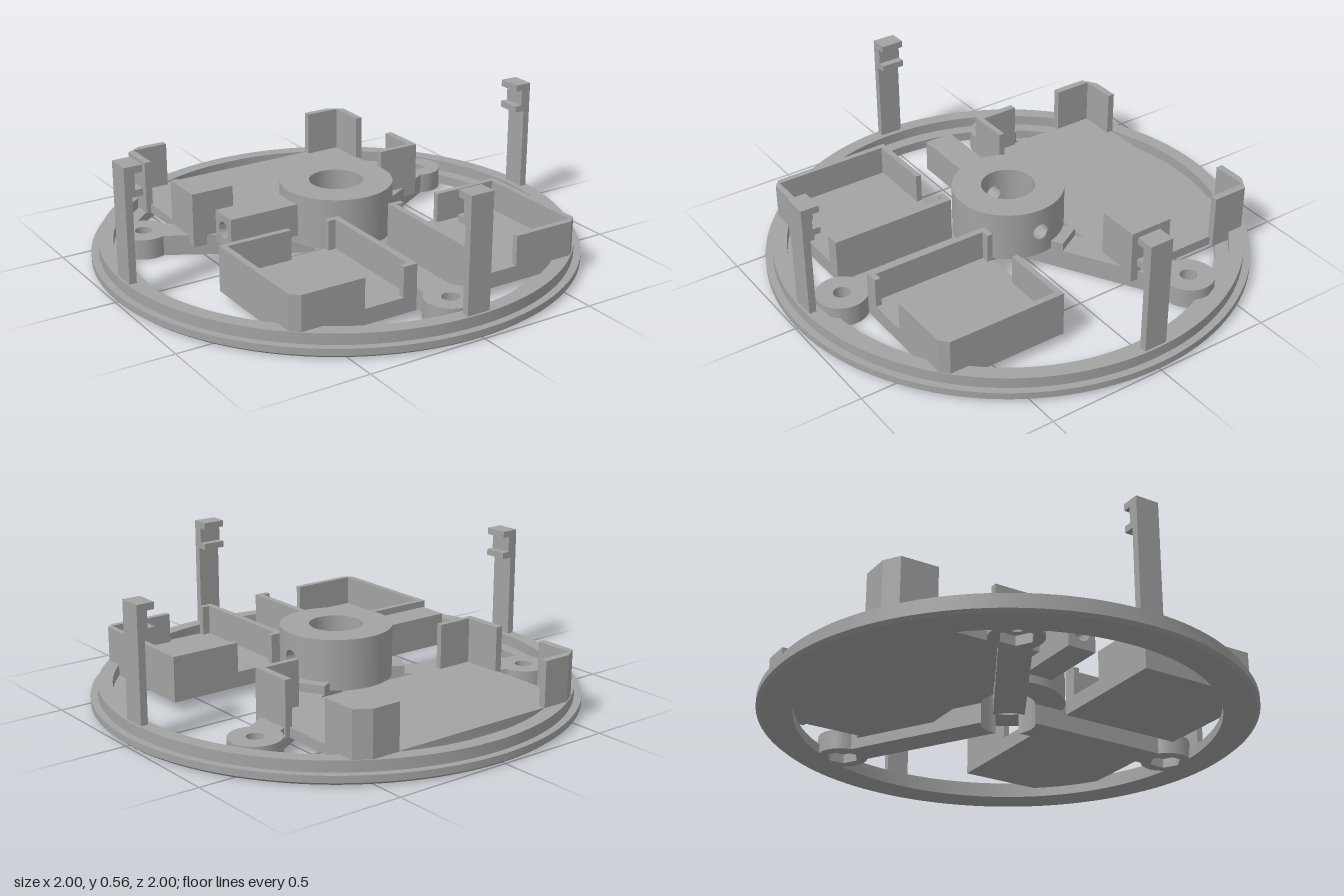
import * as THREE from 'three';
import { toCreasedNormals } from 'three/addons/utils/BufferGeometryUtils.js';
import { ParametricGeometry } from 'three/addons/geometries/ParametricGeometry.js';

export function createModel() {
  const root = new THREE.Group();
  root.name = 'mountingPlate';
  const grey = new THREE.MeshStandardMaterial({ color: 0xa3a3a3, side: THREE.DoubleSide });
  grey.name = 'grey plastic';

  const add = (name, geometry, parent = root) => {
    const mesh = new THREE.Mesh(geometry, grey);
    mesh.name = name;
    parent.add(mesh);
    return mesh;
  };
  const crease = (g) => toCreasedNormals(g, 0.5);

  // Horizontal slab from a plan shape whose y axis is -z
  const slabGeo = (shape, y0, y1) => {
    const g = new THREE.ExtrudeGeometry(shape, { depth: y1 - y0, bevelEnabled: false, curveSegments: 32 });
    return crease(g.rotateX(-Math.PI / 2).translate(0, y0, 0));
  };
  // Plan outline from [x, z] points, optionally mirrored in x
  const plan = (pts, s = 1) => new THREE.Shape(pts.map(([x, z]) => new THREE.Vector2(x * s, -z)));
  const circle = (x, y, r) => new THREE.Path().absarc(x, y, r, 0, Math.PI * 2, true);

  // Stepped outer ring
  const ringProfile = [[0.855, 0], [0.985, 0], [1, 0.012], [1, 0.04], [0.97, 0.04], [0.97, 0.085],
    [0.91, 0.085], [0.91, 0.04], [0.855, 0.04], [0.855, 0]];
  add('outerRing', crease(new THREE.LatheGeometry(ringProfile.map((p) => new THREE.Vector2(...p)), 128)));

  // Three spokes with screw bosses and hexagonal nut pockets underneath
  const armShape = (hole) => {
    const s = new THREE.Shape();
    const a = Math.asin(0.0625 / 0.105);
    s.moveTo(0.09, -0.0625);
    s.lineTo(0.706, -0.0625);
    s.absarc(0.79, 0, 0.105, Math.PI + a, 3 * Math.PI - a, false);
    s.lineTo(0.09, 0.0625);
    s.absarc(0, 0, 0.11, 0.604, -0.604, true);
    s.holes.push(hole);
    return s;
  };
  const hex = new THREE.Path(Array.from({ length: 6 }, (_, i) =>
    new THREE.Vector2(0.79 + 0.068 * Math.cos(i * Math.PI / 3), 0.068 * Math.sin(i * Math.PI / 3))));
  [-Math.PI / 2, Math.PI / 6, Math.PI * 5 / 6].forEach((angle, i) => {
    const spoke = new THREE.Group();
    spoke.name = 'spoke';
    spoke.rotation.y = angle;
    root.add(spoke);
    add('spokeLower', slabGeo(armShape(hex), 0, 0.04), spoke);
    add('spokeUpper', slabGeo(armShape(circle(0.79, 0, 0.035)), 0.04, 0.085), spoke);
    if (i > 0) add('spokeStep', new THREE.BoxGeometry(0.08, 0.04, 0.125), spoke).position.set(0.235, 0.1, 0);
  });

  // Central hub with a cross hole on each side
  const hub = new THREE.Group();
  hub.name = 'hub';
  root.add(hub);
  const RO = 0.23, RI = 0.11, Y0 = 0.085, Y1 = 0.295, YC = (Y0 + Y1) / 2, HOLE = 0.035, W = 0.6;
  const line = (r, up) => [new THREE.Vector2(r, up ? Y0 : Y1), new THREE.Vector2(r, up ? Y1 : Y0)];
  for (const side of [1, -1]) {
    const mid = side * Math.PI / 2;
    for (const [r, up] of [[RO, true], [RI, false]]) {
      add('hubWall', new THREE.LatheGeometry(line(r, up), 32, mid + W, Math.PI - 2 * W), hub);
    }
    // Wall patch spread from the round hole to a curved rectangle
    const point = (r, u, t, target) => {
      const c = Math.cos(u * 2 * Math.PI), s = Math.sin(u * 2 * Math.PI);
      const m = Math.max(Math.abs(c), Math.abs(s));
      const a = mid + THREE.MathUtils.lerp(Math.asin(HOLE * c / r), W * c / m, t);
      const y = YC + THREE.MathUtils.lerp(HOLE * s, (Y1 - YC) * s / m, t);
      target.set(r * Math.sin(a), y, r * Math.cos(a));
    };
    add('hubHoleOuterFace', new ParametricGeometry((u, v, p) => point(RO, u, v, p), 32, 6), hub);
    add('hubHoleInnerFace', new ParametricGeometry((u, v, p) => point(RI, u, 1 - v, p), 32, 6), hub);
    add('hubHoleBore', new ParametricGeometry((u, v, p) =>
      point(THREE.MathUtils.lerp(RI, RO, v), u, 0, p), 32, 1), hub);
  }
  add('hubTop', new THREE.RingGeometry(RI, RO, 64).rotateX(-Math.PI / 2), hub).position.y = Y1;
  add('hubBottom', new THREE.RingGeometry(RI, RO, 64).rotateX(Math.PI / 2), hub).position.y = Y0;

  // Square side tube running into the hub
  const tube = new THREE.Shape([[-0.062, -0.07], [0.062, -0.07], [0.062, 0.065], [-0.062, 0.065]]
    .map((p) => new THREE.Vector2(...p)));
  tube.holes.push(circle(0, 0, HOLE));
  add('sideTube', crease(new THREE.ExtrudeGeometry(tube, { depth: 0.31, bevelEnabled: false, curveSegments: 24 })
    .rotateY(-Math.PI / 2))).position.set(-0.215, YC, 0);

  // Rear platform with trimmed back corners
  add('rearPlatform', slabGeo(plan([[-0.53, -0.21], [0.53, -0.21], [0.53, -0.81], [0.49, -0.83],
    [-0.49, -0.83], [-0.53, -0.81]]), 0.045, 0.085));

  const backBracket = [[0.365, -0.835], [0.487, -0.835], [0.55, -0.795], [0.55, -0.64], [0.52, -0.64],
    [0.52, -0.805], [0.365, -0.805]];
  const frontBracket = [[0.365, -0.21], [0.55, -0.21], [0.55, -0.4], [0.52, -0.4], [0.52, -0.235], [0.365, -0.235]];
  const trayFloor = [[0.125, 0.2], [0.655, 0.2], [0.655, 0.71], [0.62, 0.74], [0.125, 0.74]];
  const trayOuterWall = [[0.35, 0.2], [0.655, 0.2], [0.655, 0.71], [0.62, 0.74], [0.35, 0.74],
    [0.35, 0.715], [0.63, 0.715], [0.63, 0.225], [0.35, 0.225]];
  const trayInnerWall = [[0.12, 0.2], [0.18, 0.2], [0.18, 0.225], [0.147, 0.225], [0.147, 0.715],
    [0.18, 0.715], [0.18, 0.74], [0.12, 0.74]];
  for (const s of [1, -1]) {
    // Corner brackets of the platform
    add('backBracket', slabGeo(plan(backBracket, s), 0.045, 0.275));
    add('frontBracket', slabGeo(plan(frontBracket, s), 0.045, 0.275));
    // Front trays with gaps in their front and back walls
    add('trayFloor', slabGeo(plan(trayFloor, s), 0.04, 0.105));
    add('trayOuterWall', slabGeo(plan(trayOuterWall, s), 0.04, 0.23));
    add('trayInnerWall', slabGeo(plan(trayInnerWall, s), 0.04, 0.23));
  }

  // Upright clips with two inward hooks
  const clip = new THREE.Shape([[0.93, 0.04], [0.96, 0.04], [0.96, 0.555], [0.885, 0.555], [0.885, 0.527],
    [0.917, 0.527], [0.917, 0.46], [0.885, 0.46], [0.885, 0.433], [0.93, 0.433]].map((p) => new THREE.Vector2(...p)));
  for (const angle of [0, Math.PI, -Math.PI / 2]) {
    const g = new THREE.ExtrudeGeometry(clip, { depth: 0.1, bevelEnabled: false }).translate(0, 0, -0.05);
    add('uprightClip', g).rotation.y = angle;
  }
  return root;
}
